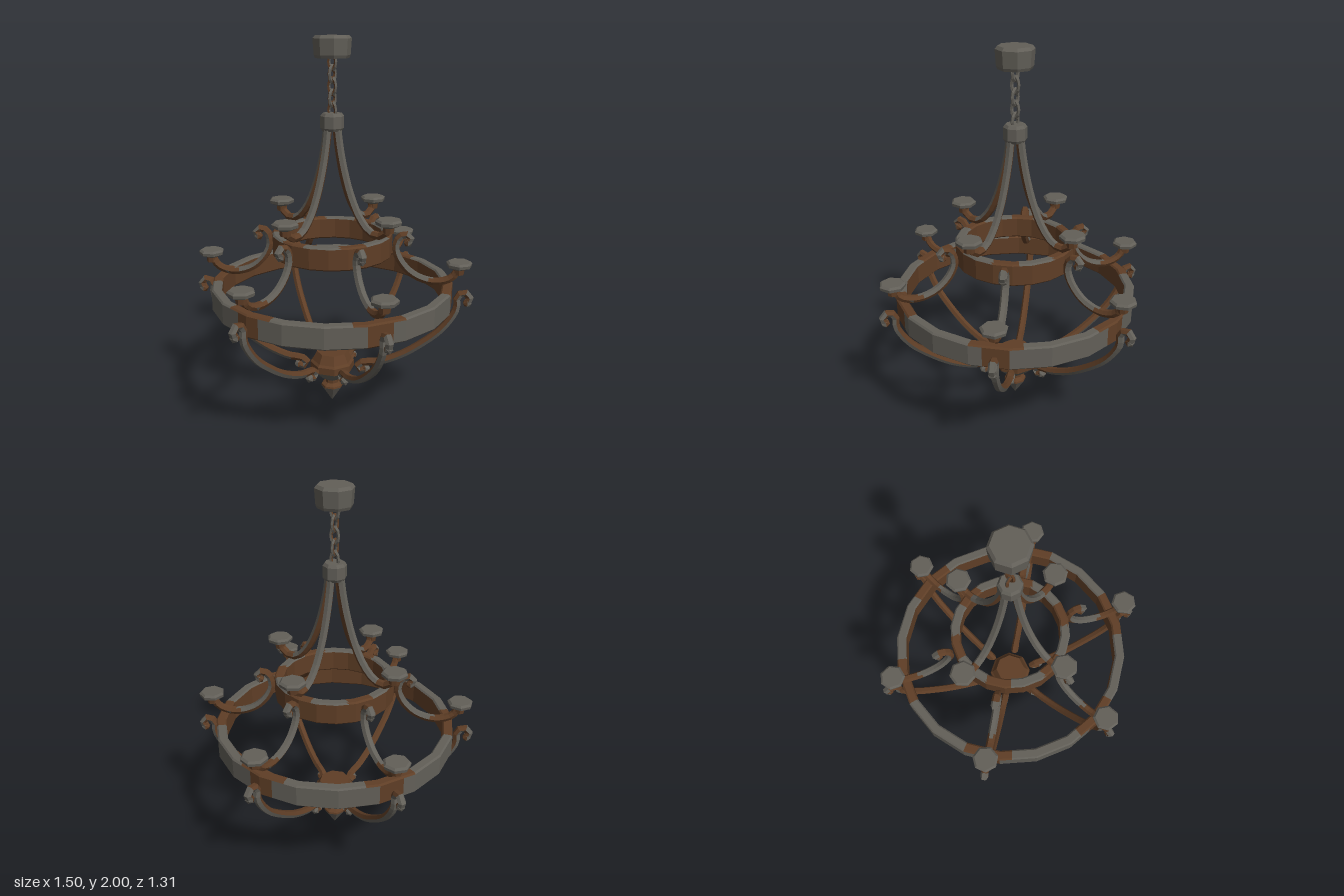
import * as THREE from 'three';

const iron = new THREE.MeshStandardMaterial({ color: 0x625f58 });
iron.name = 'iron';
const rust = new THREE.MeshStandardMaterial({ color: 0x5f3e26 });
rust.name = 'rust';

// Facet a geometry and sort its triangles into iron and rust by a rule on centre and normal
function twoTone(name, geometry, isRust) {
  const geo = geometry.index ? geometry.toNonIndexed() : geometry;
  const p = geo.attributes.position;
  const lists = [[], []];
  const tri = new THREE.Triangle(), c = new THREE.Vector3(), n = new THREE.Vector3();
  for (let i = 0; i < p.count; i += 3) {
    tri.setFromAttributeAndIndices(p, i, i + 1, i + 2);
    if (tri.getArea() < 1e-9) continue;
    tri.getMidpoint(c);
    tri.getNormal(n);
    const list = lists[isRust(c, n) ? 1 : 0];
    for (const v of [tri.a, tri.b, tri.c]) list.push(v.x, v.y, v.z);
  }
  const out = new THREE.BufferGeometry();
  const nIron = lists[0].length / 3, nRust = lists[1].length / 3;
  out.setAttribute('position', new THREE.Float32BufferAttribute(lists[0].concat(lists[1]), 3));
  out.computeVertexNormals();
  out.addGroup(0, nIron, 0);
  out.addGroup(nIron, nRust, 1);
  const mesh = new THREE.Mesh(out, [iron, rust]);
  mesh.name = name;
  return mesh;
}

const lathe = (points, sides) =>
  new THREE.LatheGeometry(points.map(([x, y]) => new THREE.Vector2(x, y)), sides);

// Angle in degrees from a point to the nearest multiple of a step
function angleOff(c, step) {
  const a = THREE.MathUtils.radToDeg(Math.atan2(c.z, c.x));
  return Math.abs(a - step * Math.round(a / step));
}

// Band with 20 flat sides, finely divided so rust patches can be placed on it
function band(name, inner, outer, y0, y1, isRust) {
  const b = 0.008;
  const geo = lathe([[outer - b, y0], [outer, y0 + b], [outer, y1 - b], [outer - b, y1],
    [inner + b, y1], [inner, y1 - b], [inner, y0 + b], [inner + b, y0], [outer - b, y0]], 120);
  const p = geo.attributes.position;
  const half = Math.PI / 20;
  for (let i = 0; i < p.count; i++) {
    let a = Math.atan2(p.getX(i), p.getZ(i));
    a = ((a % (2 * half)) + 2 * half) % (2 * half);
    const k = Math.cos(half) / Math.cos(a - half);
    p.setX(i, p.getX(i) * k);
    p.setZ(i, p.getZ(i) * k);
  }
  return twoTone(name, geo, isRust);
}

// Bent bar lying in the x-y plane, with optional faceted tips
function bar(name, points, radius, segments, isRust, tips = []) {
  const group = new THREE.Group();
  group.name = name;
  const curve = new THREE.CatmullRomCurve3(points.map(([x, y]) => new THREE.Vector3(x, y, 0)));
  group.add(twoTone(name + 'Bar', new THREE.TubeGeometry(curve, segments, radius, 6, false), isRust));
  for (const i of tips) {
    const tip = new THREE.IcosahedronGeometry(radius * 1.2, 0);
    tip.translate(points[i][0], points[i][1], 0);
    group.add(twoTone(name + 'Tip', tip, (c, n) => n.x < 0));
  }
  return group;
}

// Shallow candle dish
function dish(x, y) {
  const geo = lathe([[0, -0.04], [0.027, -0.04], [0.03, -0.012], [0.066, 0.004],
    [0.069, 0.02], [0.058, 0.03], [0, 0.03]], 7);
  geo.translate(x, y, 0);
  return twoTone('candleDish', geo, (c) => c.y < y - 0.015);
}

export function createModel() {
  const model = new THREE.Group();
  model.name = 'chandelier';

  // Ceiling mount and hub
  model.add(twoTone('ceilingMount', lathe([[0, 1.89], [0.085, 1.89], [0.092, 1.905],
    [0.098, 1.985], [0.085, 2], [0, 2]], 8), (c, n) => n.y < -0.9));
  model.add(twoTone('topHub', lathe([[0, 1.53], [0.052, 1.53], [0.061, 1.545],
    [0.061, 1.605], [0.05, 1.62], [0, 1.62]], 8), (c, n) => n.y < -0.9));

  // Chain
  for (let i = 0; i < 5; i++) {
    const geo = new THREE.TorusGeometry(0.023, 0.009, 5, 10);
    geo.scale(1, 1.6, 1);
    geo.rotateY(i % 2 ? 0 : Math.PI / 2);
    geo.translate(0, 1.633 + i * 0.06, 0);
    model.add(twoTone('chainLink', geo, (c, n) => n.x + n.z < -0.3));
  }

  // Upper and lower bands
  model.add(band('upperBand', 0.268, 0.318, 0.88, 1.0,
    (c, n) => n.y < 0.5 || angleOff(c, 60) < 13));
  model.add(band('lowerBand', 0.592, 0.645, 0.61, 0.73, (c, n) => {
    const outward = n.x * c.x + n.z * c.z;
    if (n.y > 0.5) return angleOff(c, 60) < 12;
    return n.y < -0.9 || outward < 0 || angleOff(c, 60) < 6;
  }));

  // Four hanging rods, each ending in a dish above the upper band
  for (let i = 0; i < 4; i++) {
    const arm = bar('hangingRod', [[0.032, 1.56], [0.045, 1.47], [0.075, 1.34], [0.12, 1.21],
      [0.18, 1.1], [0.25, 1.035], [0.315, 1.03], [0.352, 1.06], [0.362, 1.095]],
    0.021, 16, (c, n) => n.x < 0.1 || c.x > 0.27);
    arm.add(dish(0.362, 1.095));
    arm.rotation.y = i * Math.PI / 2;
    model.add(arm);
  }

  // Six scrolled arms from the upper band, and six from the lower band to the bowl
  for (let i = 0; i < 6; i++) {
    const arm = bar('candleArm', [[0.402, 0.955], [0.415, 0.982], [0.385, 0.998], [0.35, 0.975],
      [0.338, 0.915], [0.372, 0.84], [0.445, 0.775], [0.55, 0.748], [0.635, 0.775], [0.67, 0.835]],
    0.021, 22, (c, n) => c.x > 0.58 || n.x < 0.1, [0]);
    arm.add(dish(0.67, 0.835));
    arm.rotation.y = i * Math.PI / 3;
    model.add(arm);

    const rib = bar('bowlArm', [[0.722, 0.638], [0.733, 0.672], [0.7, 0.695], [0.668, 0.665],
      [0.667, 0.605], [0.6, 0.49], [0.49, 0.39], [0.37, 0.31], [0.25, 0.262], [0.165, 0.25],
      [0.14, 0.222], [0.165, 0.205], [0.19, 0.215]],
    0.021, 28, (c, n) => n.x < 0.1 && n.y > -0.6, [0, 12]);
    rib.rotation.y = i * Math.PI / 3;
    model.add(rib);
  }

  // Bottom bowl with pointed finial
  model.add(twoTone('bottomFinial', lathe([[0, 0.005], [0.062, 0.1], [0.06, 0.11], [0.036, 0.122],
    [0.036, 0.14], [0.08, 0.17], [0.122, 0.212], [0.122, 0.25], [0.11, 0.262],
    [0.085, 0.31], [0, 0.31]], 8), (c) => c.y > 0.215 || (c.y > 0.1 && c.y < 0.14)));

  return model;
}
